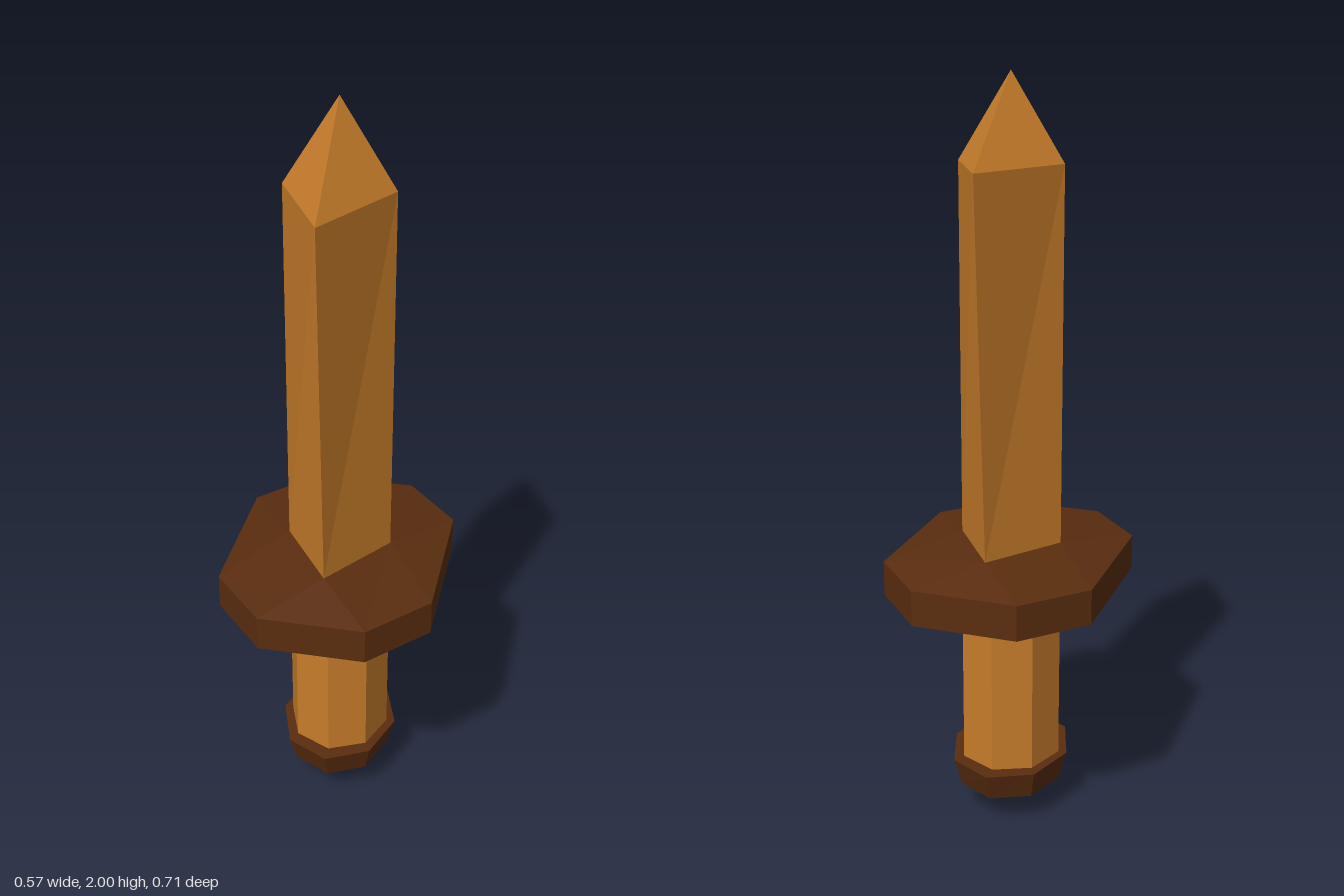
import * as THREE from 'three';

const woodLight = new THREE.MeshStandardMaterial({ color: 0xc67c2a, flatShading: true });
const woodDark = new THREE.MeshStandardMaterial({ color: 0x5a2d0f, flatShading: true });

// Skins rings of equal point count, listed bottom to top; collapsed triangles are dropped.
function loft(name, material, rings) {
  const positions = [];
  const addTriangle = (...corners) => {
    const [a, b, c] = corners.map((p) => new THREE.Vector3(...p));
    if (b.sub(a).cross(c.sub(a)).length() > 1e-7) positions.push(...corners.flat());
  };
  for (let r = 0; r < rings.length - 1; r++) {
    const low = rings[r], high = rings[r + 1], n = low.length;
    for (let i = 0; i < n; i++) {
      const j = (i + 1) % n;
      addTriangle(low[i], low[j], high[j]);
      addTriangle(low[i], high[j], high[i]);
    }
  }
  const geometry = new THREE.BufferGeometry();
  geometry.setAttribute('position', new THREE.Float32BufferAttribute(positions, 3));
  geometry.computeVertexNormals();
  const mesh = new THREE.Mesh(geometry, material);
  mesh.name = name;
  return mesh;
}

// Horizontal oval ring of n points starting at +z; zero radii make a point.
function ring(y, rx, rz, n = 8) {
  return Array.from({ length: n }, (_, i) => {
    const a = (i / n) * Math.PI * 2;
    return [rx * Math.sin(a), y, rz * Math.cos(a)];
  });
}

// Elongated octagon of the guard, starting at the right half of the front edge.
function guardRing(y) {
  const quarter = [[0.14, 0.357], [0.285, 0.2]];
  const half = [...quarter, ...quarter.map(([x, z]) => [x, -z]).reverse()];
  return [...half, ...half.map(([x, z]) => [-x, -z])].map(([x, z]) => [x, y, z]);
}

// Diamond with each corner doubled so that it pairs with the guard's octagon.
function doubledDiamond(y, rx, rz) {
  return [[0, rz], [rx, 0], [rx, 0], [0, -rz], [0, -rz], [-rx, 0], [-rx, 0], [0, rz]]
    .map(([x, z]) => [x, y, z]);
}

export function createModel() {
  const sword = new THREE.Group();
  sword.name = 'sword';

  // Diamond-section blade, widening towards the tip
  sword.add(loft('blade', woodLight, [
    ring(0.79, 0.14, 0.2, 4),
    ring(1.78, 0.14, 0.265, 4),
    ring(2, 0, 0, 4),
  ]));

  // Guard, sloping up to the blade and slightly down to the grip
  sword.add(loft('guard', woodDark, [
    ring(0.645, 0.14, 0.155),
    guardRing(0.66),
    guardRing(0.755),
    doubledDiamond(0.79, 0.14, 0.2),
  ]));

  // Eight-sided grip
  sword.add(loft('grip', woodLight, [
    ring(0.165, 0.14, 0.155),
    ring(0.645, 0.14, 0.155),
  ]));

  // Pommel with a flat ledge on top and a pointed underside
  sword.add(loft('pommel', woodDark, [
    ring(0, 0, 0),
    ring(0.085, 0.143, 0.172),
    ring(0.165, 0.164, 0.2),
    ring(0.165, 0.14, 0.155),
  ]));

  return sword;
}
